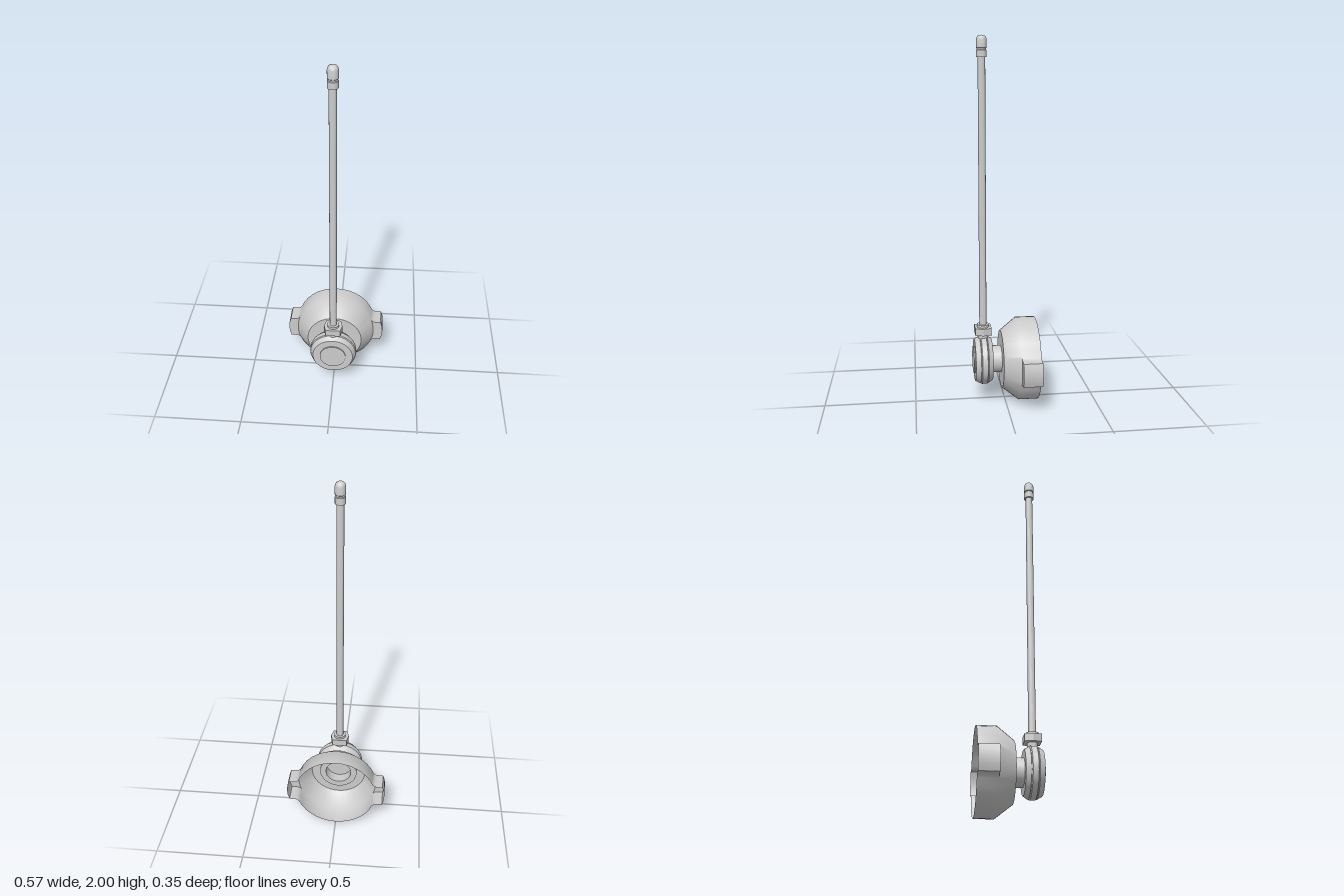
import * as THREE from 'three';
import { toCreasedNormals } from 'three/addons/utils/BufferGeometryUtils.js';

const CY = 0.23;     // height of the mount axis
const ROD_Z = 0.12;  // depth of the rod axis
const V = (x, y) => new THREE.Vector2(x, y);

export function createModel() {
  const model = new THREE.Group();
  const grey = new THREE.MeshStandardMaterial({ color: 0xcccccc });
  const shellGrey = new THREE.MeshStandardMaterial({ color: 0xcccccc, side: THREE.DoubleSide });

  function add(name, geometry, material = grey) {
    const mesh = new THREE.Mesh(geometry, material);
    mesh.name = name;
    model.add(mesh);
    return mesh;
  }
  // Lathe from [radius, height] pairs, around y
  function turned(name, points, segments, material, crease = 0.6) {
    const geo = new THREE.LatheGeometry(points.map(([r, h]) => V(r, h)), segments);
    return add(name, toCreasedNormals(geo, crease), material);
  }
  // Lathe whose axis points to the front
  function turnedForward(name, points, segments, material) {
    const mesh = turned(name, points, segments, material);
    mesh.rotation.x = Math.PI / 2;
    mesh.position.y = CY;
    return mesh;
  }

  // Housing: hollow cup open at the back, with an ear on each side
  const quarter = [[0, 0.285], [7, 0.284], [13.5, 0.28], [15, 0.255], [17, 0.237], [21, 0.23]];
  for (let a = 30; a <= 90; a += 10) quarter.push([a, 0.23]);
  const half = [...quarter, ...quarter.slice(0, -1).reverse().map(([a, r]) => [180 - a, r])];
  const outline = [...half, ...half.slice(1, -1).map(([a, r]) => [a + 180, r])];
  const rings = [
    [-0.175, (r) => r],
    [-0.07, (r) => r],
    [-0.07, () => 0.23],
    [0.02, () => 0.16],
    [0.02, () => 0.075],
  ];
  const positions = [], index = [], n = outline.length;
  for (const [z, radius] of rings) {
    for (const [deg, r] of outline) {
      const a = THREE.MathUtils.degToRad(deg);
      positions.push(radius(r) * Math.cos(a), CY + radius(r) * Math.sin(a), z);
    }
  }
  for (let k = 0; k < rings.length - 1; k++) {
    for (let i = 0; i < n; i++) {
      const j = (i + 1) % n, a = k * n + i, b = k * n + j;
      index.push(a, b, b + n, a, b + n, a + n);
    }
  }
  const shell = new THREE.BufferGeometry();
  shell.setAttribute('position', new THREE.Float32BufferAttribute(positions, 3));
  shell.setIndex(index);
  add('housing', toCreasedNormals(shell, 0.75), shellGrey);

  // Neck with a flange inside the housing
  turnedForward('neck', [[0.075, 0.08], [0.075, 0.01], [0.11, 0.01], [0.11, 0.02]], 40, shellGrey);

  // Grooved round clamp with a raised hub on its face
  turnedForward('clampDisc', [
    [0, 0.072], [0.116, 0.072], [0.132, 0.097], [0.126, 0.1], [0.135, 0.104],
    [0.135, 0.133], [0.126, 0.137], [0.132, 0.14], [0.116, 0.168], [0.077, 0.168], [0, 0.168],
  ], 48);
  turnedForward('clampHub', [[0.075, 0.16], [0.075, 0.175], [0, 0.175]], 40);

  // Six-sided nut
  const nutShape = new THREE.Shape([
    V(0.053, 0), V(0.042, 0.045), V(-0.042, 0.045), V(-0.053, 0), V(-0.042, -0.045), V(0.042, -0.045),
  ]);
  const nut = add('nut', new THREE.ExtrudeGeometry(nutShape, { depth: 0.04, bevelEnabled: false }));
  nut.rotation.x = -Math.PI / 2;
  nut.position.set(0, 0.383, ROD_Z);

  // Rod and the short fittings along it
  const fittings = [
    turned('stem', [[0.028, 0.34], [0.028, 0.39]], 24),
    turned('collar', [[0.034, 0.42], [0.034, 0.437], [0.02, 0.437]], 24),
    turned('rod', [[0.02, 0.42], [0.02, 1.9]], 24),
    turned('tipCap', [
      [0.019, 1.887], [0.028, 1.887], [0.028, 1.922], [0.024, 1.925], [0.024, 1.932], [0.028, 1.935],
      [0.028, 1.975], [0.025, 1.987], [0.019, 1.995], [0.01, 1.999], [0, 2],
    ], 24),
  ];
  for (const part of fittings) part.position.z = ROD_Z;

  return model;
}
